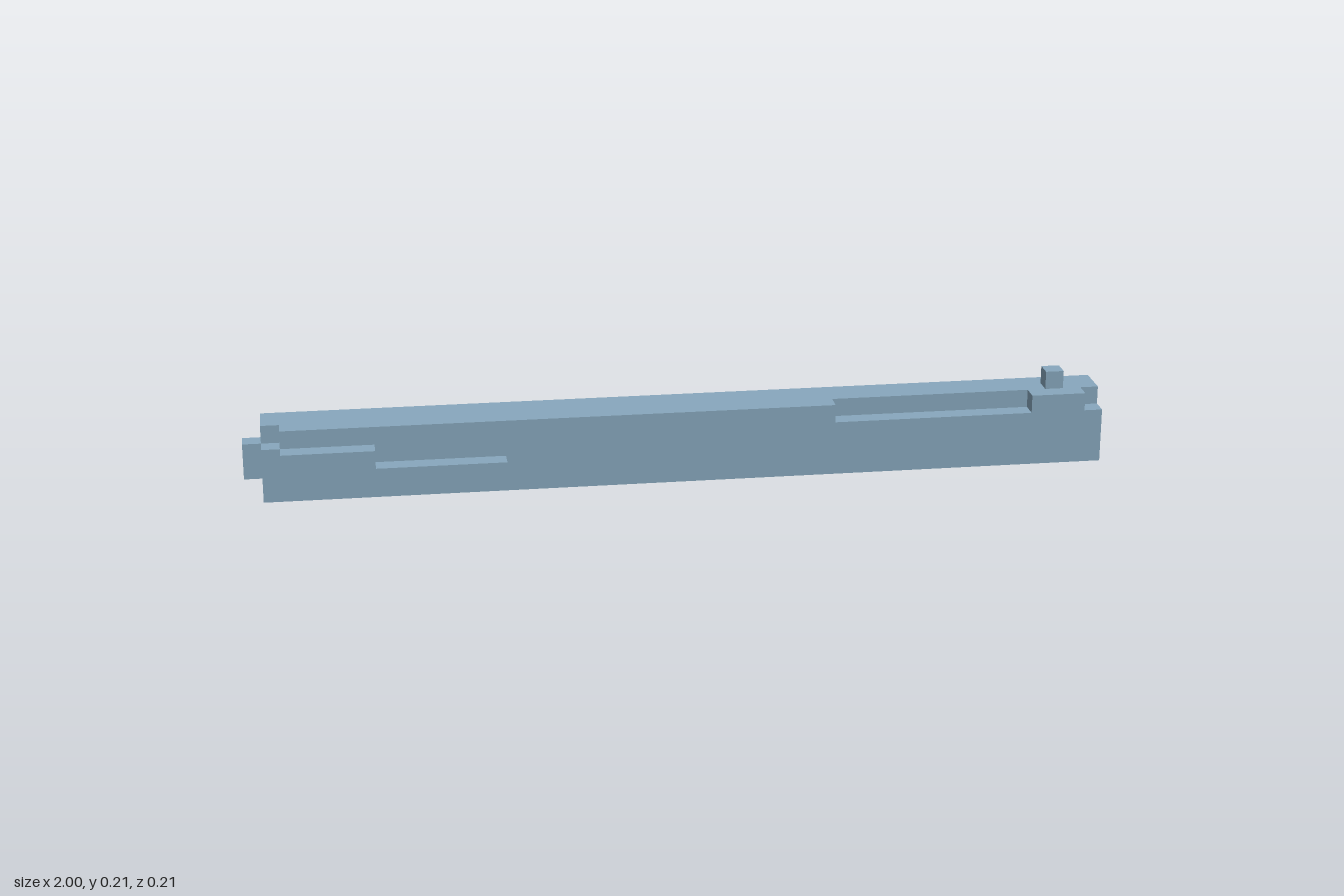
import * as THREE from 'three';

const U = 2 / 47; // one grid cell

export function createModel() {
  const model = new THREE.Group();
  model.name = 'blockyRail';
  const steel = new THREE.MeshStandardMaterial({ color: 0x88a8be });
  steel.name = 'steelBlue';

  // A named part made of boxes, each given in cells as [x0, x1, y0, y1, z0, z1]
  function part(name, boxes) {
    const group = new THREE.Group();
    group.name = name;
    for (const [x0, x1, y0, y1, z0, z1] of boxes) {
      const geometry = new THREE.BoxGeometry((x1 - x0) * U, (y1 - y0) * U, (z1 - z0) * U);
      const mesh = new THREE.Mesh(geometry, steel);
      mesh.name = name + 'Block';
      mesh.position.set((x0 + x1) / 2 * U, (y0 + y1) / 2 * U, (z0 + z1) / 2 * U);
      group.add(mesh);
    }
    model.add(group);
  }

  part('base', [[-22.5, 23.5, 0, 1, -1.5, 1.5]]);

  // Layer with the slot open to the back and the left end
  part('slotLayer', [
    [-22.5, 17.5, 1, 2, -1.5, 1.5],
    [17.5, 23.5, 1, 2, 0.5, 1.5],
    [17.5, 18.5, 1, 2, -0.5, 0.5],
  ]);

  // Layer with the socket in the left end
  part('socketLayer', [
    [-22.5, 22.5, 2, 3, -1.5, 1.5],
    [22.5, 23.5, 2, 3, 0.5, 1.5],
    [22.5, 23.5, 2, 3, -1.5, -0.5],
  ]);

  // Top layer, notched along the front edge
  part('topLayer', [
    [-22.5, 23.5, 3, 4, -1.5, 0.5],
    [-21.5, 8.5, 3, 4, 0.5, 1.5],
    [19.5, 22.5, 3, 4, 0.5, 1.5],
  ]);

  part('endTip', [[-23.5, -22.5, 1, 3, -0.5, 0.5]]);
  part('topPin', [[20.5, 21.5, 4, 5, -0.5, 0.5]]);

  // Stepped strips on both long sides
  part('frontStrip', [
    [-21.5, -9.5, 1, 2, 1.5, 2.5],
    [-21.5, -16.5, 2, 3, 1.5, 2.5],
  ]);
  part('backStrip', [
    [-22.5, 12.5, 1, 2, -2.5, -1.5],
    [-21.5, 4.5, 2, 3, -2.5, -1.5],
  ]);
  part('backPlate', [[19.5, 22.5, 1, 3, -2.5, -1.5]]);

  return model;
}
